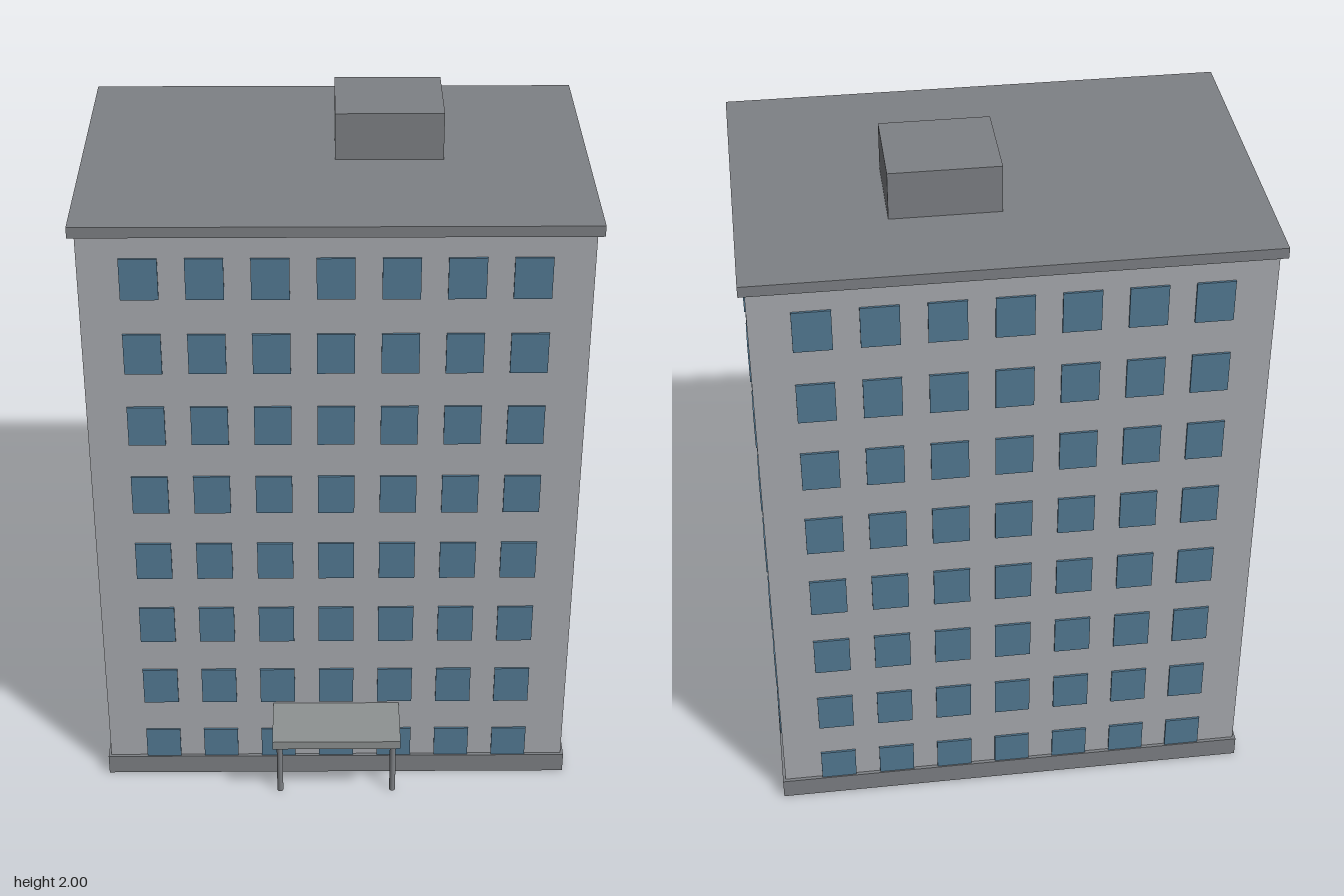
import * as THREE from 'three';

const mat = (color) => new THREE.MeshStandardMaterial({ color });

export function createModel() {
  const model = new THREE.Group();
  model.name = 'apartmentBlock';

  const wall = mat(0xa9abb0);
  const trim = mat(0x7e8185);
  const glass = mat(0x537a94);
  const canopyGrey = mat(0x8e9292);

  // Box placed by the centre of its underside
  const box = (name, w, h, d, x, y, z, material, parent = model) => {
    const mesh = new THREE.Mesh(new THREE.BoxGeometry(w, h, d), material);
    mesh.name = name;
    mesh.position.set(x, y + h / 2, z);
    parent.add(mesh);
    return mesh;
  };

  const cz = -0.08;
  const halfW = 0.688, halfD = 0.458;

  // Main volumes
  box('plinth', 1.392, 0.063, 0.936, 0, 0, cz, trim);
  box('walls', halfW * 2, 1.8, halfD * 2, 0, 0.033, cz, wall);
  box('roofSlab', 1.41, 0.031, 0.956, 0, 1.832, cz, trim);
  box('roofHouse', 0.302, 0.137, 0.264, 0.151, 1.863, -0.156, trim);

  // Windows: 8 floors, 7 across the front and back, 3 on each side
  const floors = 8, pitch = 0.2283, firstFloor = 0.043;
  const size = 0.103, height = 0.122, thick = 0.012;
  const windows = new THREE.Group();
  windows.name = 'windows';
  model.add(windows);
  for (let f = 0; f < floors; f++) {
    const y = firstFloor + f * pitch;
    for (const s of [-1, 1]) {
      for (let i = -3; i <= 3; i++) {
        box(s > 0 ? 'frontWindow' : 'backWindow', size, height, thick,
          i * 0.175, y, cz + s * halfD, glass, windows);
      }
      for (let i = -1; i <= 1; i++) {
        box(s > 0 ? 'leftWindow' : 'rightWindow', thick, height, size,
          s * halfW, y, cz + i * 0.212, glass, windows);
      }
    }
  }

  // Entrance canopy on two posts
  const entrance = new THREE.Group();
  entrance.name = 'entrance';
  model.add(entrance);
  box('canopy', 0.378, 0.027, 0.181, 0, 0.234, 0.468, canopyGrey, entrance);
  for (const s of [-1, 1]) {
    const post = new THREE.Mesh(new THREE.CylinderGeometry(0.009, 0.009, 0.234, 12), trim);
    post.name = s > 0 ? 'leftPost' : 'rightPost';
    post.position.set(s * 0.17, 0.117, 0.469);
    entrance.add(post);
  }

  return model;
}
